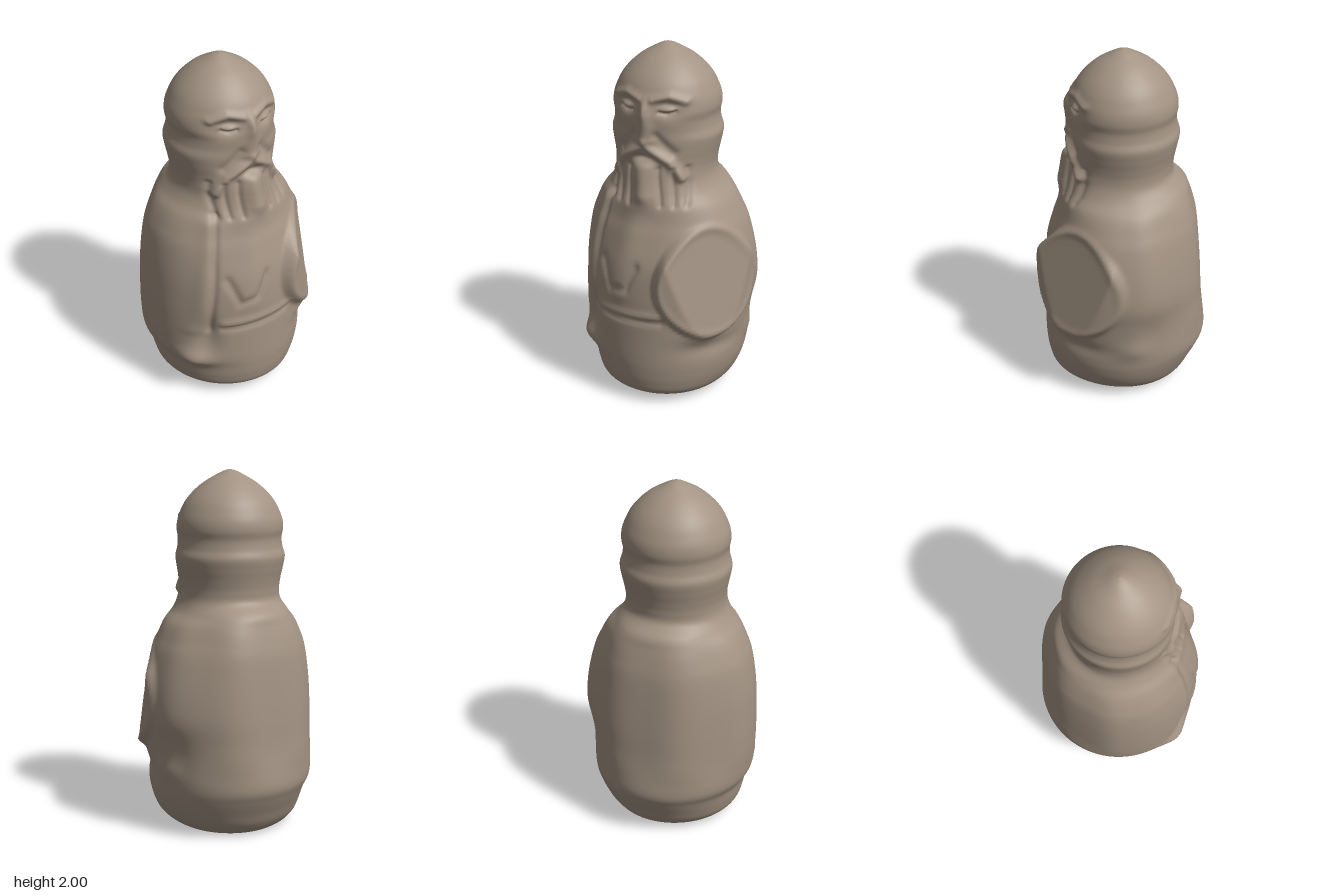
import * as THREE from 'three';
import { mergeVertices } from 'three/addons/utils/BufferGeometryUtils.js';

const gauss = (d, w) => Math.exp(-((d / w) ** 2));
const smooth = THREE.MathUtils.smoothstep;

// Body sections: height, then reach towards -x, +x, back and front
const BODY = [
  [0, 0, 0, 0, 0], [0, 0.25, 0.24, 0.26, 0.26], [0.02, 0.34, 0.31, 0.33, 0.34],
  [0.07, 0.40, 0.37, 0.375, 0.42], [0.14, 0.425, 0.41, 0.41, 0.445], [0.22, 0.44, 0.435, 0.45, 0.455],
  [0.29, 0.475, 0.445, 0.475, 0.458], [0.40, 0.487, 0.457, 0.47, 0.457], [0.54, 0.49, 0.475, 0.458, 0.455],
  [0.68, 0.487, 0.495, 0.45, 0.452], [0.84, 0.478, 0.48, 0.437, 0.435], [1.0, 0.455, 0.44, 0.42, 0.39],
  [1.09, 0.425, 0.40, 0.40, 0.36], [1.17, 0.385, 0.355, 0.375, 0.345], [1.23, 0.335, 0.295, 0.35, 0.33],
];

// Head sections: height and radius, round about an axis slightly off centre
const HEAD = [
  [1.29, 0.283], [1.35, 0.276], [1.41, 0.284], [1.47, 0.297], [1.53, 0.306], [1.58, 0.292],
  [1.63, 0.287], [1.68, 0.295], [1.73, 0.29], [1.78, 0.271], [1.83, 0.244], [1.88, 0.202],
  [1.93, 0.143], [1.97, 0.075], [1.99, 0.035], [2, 0],
];

function headSection([y, r]) {
  const beard = 0.037 * (1 - smooth(y, 1.33, 1.47));
  const front = r + beard - 0.014 * gauss(y - 1.53, 0.04) + 0.01 * gauss(y - 1.65, 0.06);
  return [y, r + 0.02, r - 0.02, r, front];
}

// Distance from (x, y) to a polyline given as x, y pairs
function lineDistance(x, y, pts) {
  let best = 9;
  for (let i = 0; i + 3 < pts.length; i += 2) {
    const dx = pts[i + 2] - pts[i], dy = pts[i + 3] - pts[i + 1];
    const t = THREE.MathUtils.clamp(((x - pts[i]) * dx + (y - pts[i + 1]) * dy) / (dx * dx + dy * dy), 0, 1);
    best = Math.min(best, Math.hypot(x - pts[i] - t * dx, y - pts[i + 1] - t * dy));
  }
  return best;
}

// Smooth value of one section column at a fractional row
function sectionValue(sections, row, column) {
  const last = sections.length - 1;
  const i = Math.min(Math.floor(row), last - 1), t = row - i;
  const [a, b, c, d] = [i - 1, i, i + 1, i + 2].map((k) => sections[THREE.MathUtils.clamp(k, 0, last)][column]);
  return b + 0.5 * t * (c - a + t * (2 * a - 5 * b + 4 * c - d + t * (3 * (b - c) + d - a)));
}

// Carved relief of the face and beard, mirrored about x = 0
function faceRelief(x, y) {
  const ax = Math.abs(x);
  const ridge = (height, width, ...pts) => height * gauss(lineDistance(ax, y, pts), width);
  const spot = (height, cx, cy, wx, wy) => height * gauss(ax - cx, wx) * gauss(y - cy, wy);
  const noseWidth = 0.025 + 0.03 * smooth(1.75 - y, 0.05, 0.2);
  let h = spot(-0.036, 0.125, 1.705, 0.075, 0.045); // eye sockets
  h += spot(0.028, 0.125, 1.705, 0.045, 0.018); // eyelids
  h += ridge(-0.01, 0.008, 0.08, 1.69, 0.125, 1.682, 0.165, 1.695); // lid creases
  h += ridge(0.014, 0.02, 0.04, 1.755, 0.12, 1.775, 0.2, 1.745); // brows
  h += 0.024 * gauss(x, noseWidth) * smooth(y, 1.5, 1.54) * (1 - smooth(y, 1.7, 1.8)); // nose
  h += ridge(-0.012, 0.025, 0.06, 1.56, 0.15, 1.47); // cheek folds
  h += ridge(0.024, 0.024, 0, 1.51, 0.05, 1.475, 0.13, 1.42, 0.19, 1.33); // moustache
  h += spot(-0.025, 0, 1.435, 0.05, 0.022); // mouth
  h += ridge(0.038, 0.06, 0, 1.38, 0, 1.245); // chin beard
  for (const gx of [0.08, 0.15, 0.21]) h += ridge(-0.012, 0.015, gx, 1.38, gx + 0.01, 1.19); // beard grooves
  return h;
}

// Carved relief of the robe front
function robeRelief(x, y) {
  const ridge = (height, width, ...pts) => height * gauss(lineDistance(x, y, pts), width);
  let h = ridge(-0.016, 0.018, -0.23, 1.2, -0.28, 0.95, -0.33, 0.5); // sleeve edge
  h += ridge(0.013, 0.04, -0.26, 1.15, -0.32, 0.92, -0.38, 0.5);
  h += ridge(0.016, 0.08, -0.05, 1.15, -0.07, 0.92, -0.13, 0.74); // hanging fold
  h += ridge(-0.014, 0.022, -0.23, 0.84, -0.17, 0.69, -0.07, 0.71, -0.01, 0.84);
  h += ridge(-0.014, 0.016, -0.26, 0.52, 0.14, 0.54); // belt crease
  h += ridge(0.01, 0.022, -0.26, 0.555, 0.14, 0.57);
  return h;
}

// Round shield sunk into the left side, leaning back at the top
function shieldRadius(r, angle, y) {
  const turn = angle - 0.93;
  if (Math.abs(turn) > 1.2) return r;
  const d = Math.hypot(Math.sin(turn) * 0.49, y - 0.76);
  const face = Math.min((0.448 - 0.17 * (y - 0.76)) / Math.cos(turn), 0.503);
  return r + (face - r) * (1 - smooth(d, 0.285, 0.335)) + 0.008 * gauss(d - 0.3, 0.025);
}

function sculptRadius(r, angle, y) {
  const x = r * Math.sin(angle);
  const front = smooth(Math.cos(angle), 0.1, 0.45);
  const spot = (height, a, cy, wa, wy) => height * gauss(angle - a, wa) * gauss(y - cy, wy);
  let h = 0;
  if (front > 0 && y > 1.1) h += front * faceRelief(x, y);
  if (front > 0 && y < 1.3) h += front * robeRelief(x, y);
  h += spot(0.035, -0.95, 0.29, 0.22, 0.06); // right cuff
  h += spot(-0.03, -0.8, 0.47, 0.16, 0.13);
  h += spot(0.022, 0.8, 0.45, 0.22, 0.05); // left hand under the shield
  h += spot(-0.014, 1, 0.36, 0.4, 0.05);
  h += spot(-0.016, 1.95, 0.48, 0.2, 0.12); // folds behind the shield
  h += spot(0.012, 1.75, 0.37, 0.2, 0.06);
  // broad flats of the cloak
  const cloak = smooth(-Math.cos(angle), -0.1, 0.4) * smooth(y, 0.3, 0.5) * (1 - smooth(y, 1.1, 1.3));
  h += 0.007 * Math.cos(7 * angle) * cloak;
  return shieldRadius(r + h, angle, y);
}

// One closed skin: a tube whose rings follow the sections and the relief
function sculptGeometry() {
  const sections = [...BODY, ...HEAD.map(headSection)];
  const steps = sections.length - 1;
  const tube = new THREE.CylinderGeometry(1, 1, 1, 224, steps * 8, true, Math.PI);
  const pos = tube.attributes.position;
  for (let i = 0; i < pos.count; i++) {
    const row = THREE.MathUtils.clamp((pos.getY(i) + 0.5) * steps, 0, steps);
    const even = Math.atan2(pos.getX(i), pos.getZ(i));
    const angle = even - 0.4 * Math.sin(even); // finer steps at the front
    const y = THREE.MathUtils.clamp(sectionValue(sections, row, 0), 0, 2);
    const [left, right, back, front] = [1, 2, 3, 4].map((c) => sectionValue(sections, row, c));
    const mid = (right - left) / 2 * smooth(y, 1.15, 1.35);
    const rx = Math.max(Math.sin(angle) < 0 ? left + mid : right - mid, 0);
    const rz = Math.max(Math.cos(angle) < 0 ? back : front, 0);
    let r = Math.hypot(rx * Math.sin(angle), rz * Math.cos(angle));
    if (r > 0.05 && y > 0.03) r = sculptRadius(r, angle, y);
    pos.setXYZ(i, mid + r * Math.sin(angle), y, r * Math.cos(angle));
  }
  tube.deleteAttribute('uv');
  tube.deleteAttribute('normal');
  const skin = mergeVertices(tube, 1e-5);
  skin.computeVertexNormals();
  return skin;
}

export function createModel() {
  const group = new THREE.Group();
  group.name = 'carvedElder';
  const clay = new THREE.MeshStandardMaterial({ color: 0xa39383 });
  clay.name = 'warm clay';
  const skin = sculptGeometry();
  const index = skin.index.array, pos = skin.attributes.position;

  // Split the skin into parts by height, keeping shared normals
  for (const [name, low, high] of [['base', -1, 0.28], ['robe', 0.28, 1.25], ['head', 1.25, 3]]) {
    const faces = [];
    for (let i = 0; i < index.length; i += 3) {
      const [a, b, c] = [index[i], index[i + 1], index[i + 2]];
      const y = (pos.getY(a) + pos.getY(b) + pos.getY(c)) / 3;
      if (y >= low && y < high && a !== b && b !== c && a !== c) faces.push(a, b, c);
    }
    const part = new THREE.BufferGeometry();
    part.setAttribute('position', pos);
    part.setAttribute('normal', skin.attributes.normal);
    part.setIndex(faces);
    const mesh = new THREE.Mesh(part, clay);
    mesh.name = name;
    group.add(mesh);
  }
  return group;
}
